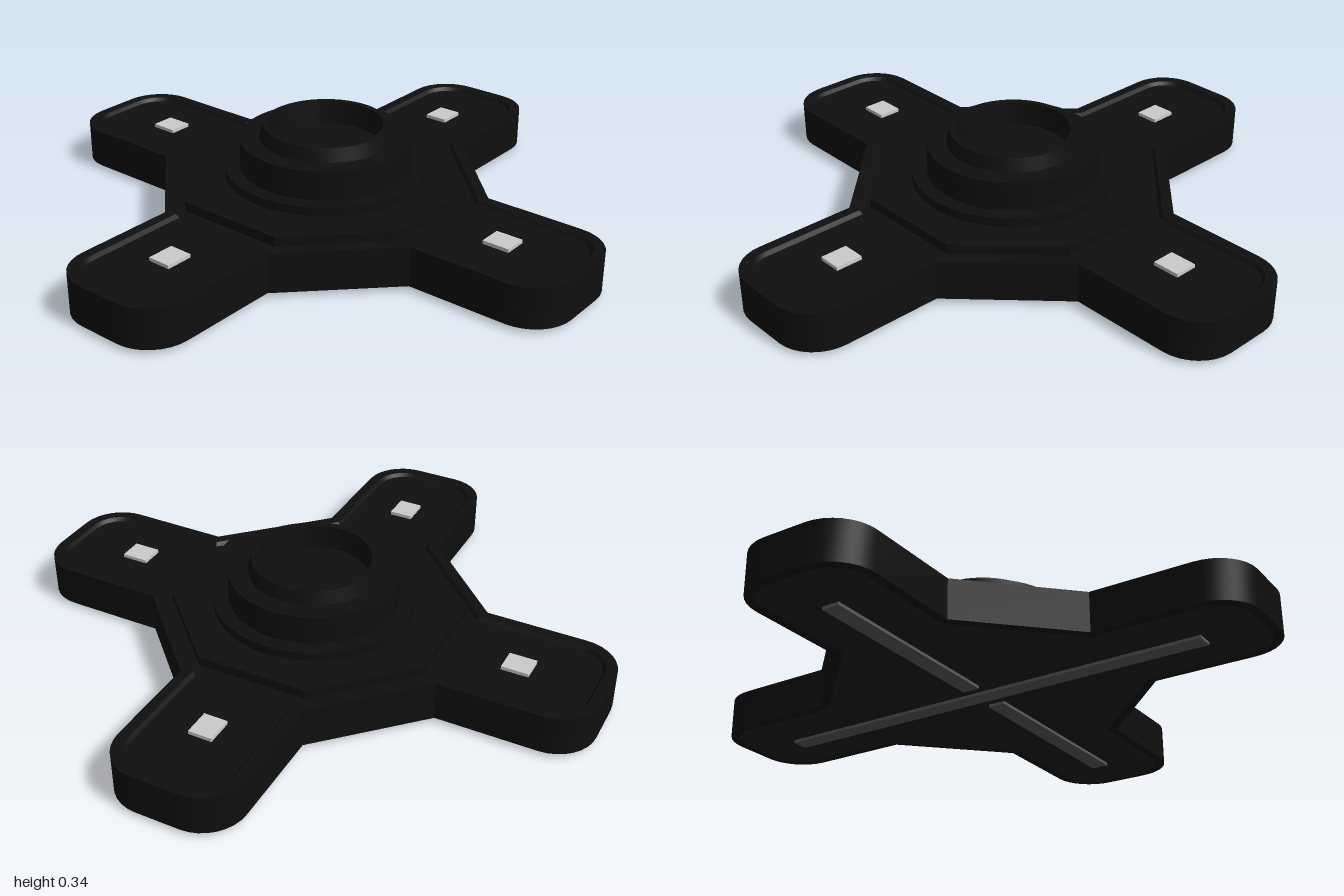
import * as THREE from 'three';
import { toCreasedNormals } from 'three/addons/utils/BufferGeometryUtils.js';

const mat = (color) => new THREE.MeshStandardMaterial({ color });
const black = mat(0x0f0f0f), dark = mat(0x1f1f1f), grey = mat(0x5c5c5c), light = mat(0xcccccc);

// Four-armed outline with rounded arm ends, moved inward by d; points are (x, z)
function outline(d) {
  const end = 1 - d, w = 0.215 - d, neck = 0.735 - 1.414 * d - w;
  const r = Math.max(0.14 - d, 0.03), n = 8, pts = [];
  for (let k = 0; k < 4; k++) {
    const arm = [[neck, -w]];
    for (const s of [-1, 1]) {
      for (let i = 0; i <= n; i++) {
        const a = (s < 0 ? -Math.PI / 2 : 0) + (i / n) * Math.PI / 2;
        arm.push([end - r + r * Math.cos(a), s * (w - r) + r * Math.sin(a)]);
      }
    }
    arm.push([neck, w]);
    const c = Math.round(Math.cos(k * Math.PI / 2)), q = Math.round(Math.sin(k * Math.PI / 2));
    for (const [x, z] of arm) pts.push(new THREE.Vector2(x * c - z * q, x * q + z * c));
  }
  return pts;
}

// Stack outlines given as [inset, y] from bottom to top, optionally capping the ends
function loft(levels, capBottom, capTop) {
  const loops = levels.map(([d]) => outline(d));
  const n = loops[0].length, pos = [], index = [];
  loops.forEach((loop, j) => loop.forEach((p) => pos.push(p.x, levels[j][1], p.y)));
  for (let j = 0; j < loops.length - 1; j++) {
    for (let i = 0; i < n; i++) {
      const a = j * n + i, b = j * n + (i + 1) % n;
      index.push(a, a + n, b, b, a + n, b + n);
    }
  }
  const cap = (j, up) => {
    for (const [a, b, c] of THREE.ShapeUtils.triangulateShape(loops[j], [])) {
      index.push(j * n + a, j * n + (up ? c : b), j * n + (up ? b : c));
    }
  };
  if (capBottom) cap(0, false);
  if (capTop) cap(loops.length - 1, true);
  const g = new THREE.BufferGeometry();
  g.setAttribute('position', new THREE.Float32BufferAttribute(pos, 3));
  g.setIndex(index);
  return toCreasedNormals(g, 0.5);
}

export function createModel() {
  const model = new THREE.Group();
  const add = (name, geometry, material, x = 0, y = 0, z = 0) => {
    const m = new THREE.Mesh(geometry, material);
    m.name = name;
    m.position.set(x, y, z);
    model.add(m);
    return m;
  };

  // Cross-shaped housing with a raised rim around its top
  add('housing', loft([[0.04, 0.015], [0, 0.015], [0, 0.15], [0.035, 0.15], [0.045, 0.138]], false, true), black);

  // Underside: chamfered foot with a shallow recessed panel
  const foot = [[0.03, 0.016], [0.05, 0], [0.08, 0], [0.09, 0.01]];
  add('footPanel', loft([...foot].reverse(), true, false), dark);

  // Octagonal plate under the hub
  const octagon = new THREE.CylinderGeometry(0.455 / Math.cos(Math.PI / 8), 0.455 / Math.cos(Math.PI / 8), 0.04, 8);
  octagon.rotateY(Math.PI / 8);
  add('hubPlate', toCreasedNormals(octagon, 0.3), black, 0, 0.15, 0);

  // Stepped round hub with a recess in the top
  const profile = [
    [0.335, 0.165], [0.335, 0.2], [0.285, 0.2], [0.285, 0.3], [0.22, 0.3],
    [0.207, 0.345], [0.188, 0.345], [0.18, 0.265], [0, 0.265],
  ].map(([r, y]) => new THREE.Vector2(r, y));
  add('hub', toCreasedNormals(new THREE.LatheGeometry(profile, 64), 0.5), black, 0.01, 0, -0.01);

  // One small light pad on each arm
  for (let k = 0; k < 4; k++) {
    const a = k * Math.PI / 2;
    const pad = add('armPad', new THREE.BoxGeometry(0.092, 0.03, 0.08), light,
      0.71 * Math.cos(a), 0.135, -0.71 * Math.sin(a));
    pad.rotation.y = a;
  }

  // Grip strips beneath: one full length, the other in two halves
  add('longStrip', new THREE.BoxGeometry(0.06, 0.014, 1.58), grey, 0, 0.007, 0);
  for (const s of [-1, 1]) {
    add('shortStrip', new THREE.BoxGeometry(0.715, 0.014, 0.06), grey, s * 0.4325, 0.007, 0);
  }

  // The whole body sits turned very slightly
  model.rotation.y = 0.008;
  return model;
}
